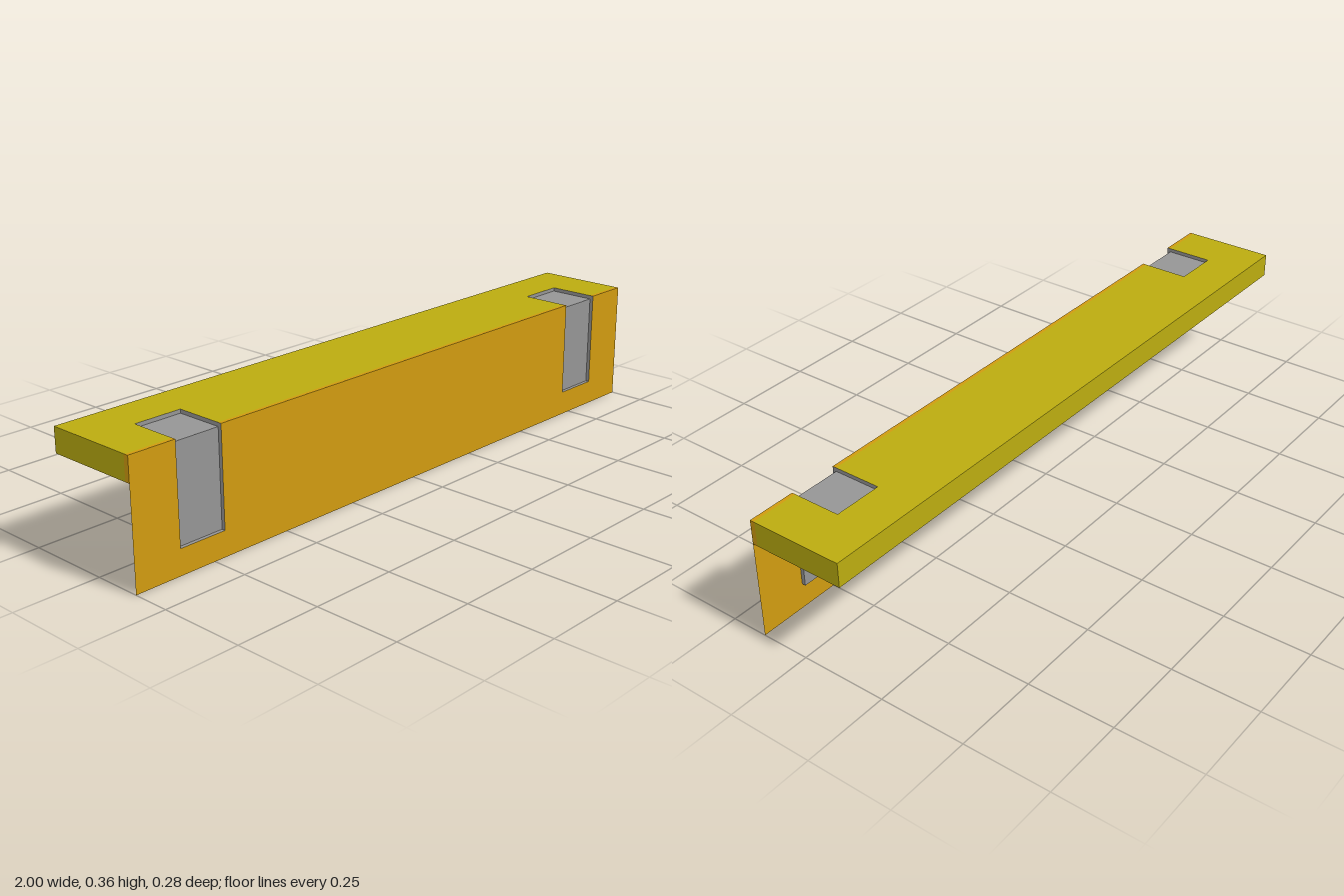
import * as THREE from 'three';

const H = 0.358, SHELF = 0.287, Z = 0.142;          // top, shelf underside, half depth
const IN = 0.714, OUT = 0.858, LOW = 0.073, BACK = -0.01; // pocket extents
const D = 0.011, LIP = 0.011;                        // pocket depth, orange lip width

const material = (name, color) => {
  const m = new THREE.MeshStandardMaterial({ color, side: THREE.DoubleSide });
  m.name = name;
  return m;
};

export function createModel() {
  const orange = material('orange', 0xd09b10);
  const yellow = material('yellow', 0xbbac10);
  const grey = material('grey', 0x959595);
  const model = new THREE.Group();
  model.name = 'shelfTrim';

  // Flat sheet from an outline; plane 'xy' at z, 'xz' at y, or 'zy' at x
  function sheet(name, mat, plane, at, points, parent = model) {
    const pts = points.map(([a, b]) =>
      plane === 'xz' ? new THREE.Vector2(a, -b) :
      plane === 'zy' ? new THREE.Vector2(-a, b) : new THREE.Vector2(a, b));
    const geo = new THREE.ShapeGeometry(new THREE.Shape(pts));
    if (plane === 'xy') geo.translate(0, 0, at);
    if (plane === 'xz') geo.rotateX(-Math.PI / 2).translate(0, at, 0);
    if (plane === 'zy') geo.rotateY(Math.PI / 2).translate(at, 0, 0);
    const mesh = new THREE.Mesh(geo, mat);
    mesh.name = name;
    parent.add(mesh);
  }
  const rect = (a0, b0, a1, b1) => [[a0, b0], [a1, b0], [a1, b1], [a0, b1]];
  // Full-width outline whose upper edge is notched for the two pockets
  const notched = (far, edge, notch) => [
    [-1, far], [1, far], [1, edge], [OUT, edge], [OUT, notch], [IN, notch], [IN, edge],
    [-IN, edge], [-IN, notch], [-OUT, notch], [-OUT, edge], [-1, edge]];

  // Main sheets
  sheet('frontPanel', orange, 'xy', Z, notched(0, H, LOW));
  sheet('shelfTop', yellow, 'xz', H, notched(-Z, Z - LIP, BACK));
  sheet('shelfBack', yellow, 'xy', -Z, rect(-1, SHELF, 1, H));

  // Orange lip along the front edge, interrupted by the pockets
  for (const [a, b] of [[-1, -OUT], [-IN, IN], [OUT, 1]])
    sheet('frontLip', orange, 'xz', H, rect(a, Z - LIP, b, Z));

  for (const s of [-1, 1]) {
    // Shelf ends
    sheet('shelfEnd', yellow, 'zy', s, rect(-Z, SHELF, Z - 0.015, H));
    sheet('endLip', orange, 'zy', s, rect(Z - 0.015, SHELF, Z, H));

    // Recessed pocket wrapping over the front edge
    const pocket = new THREE.Group();
    pocket.name = s > 0 ? 'leftPocket' : 'rightPocket';
    model.add(pocket);
    const x0 = s * IN, x1 = s * OUT;
    sheet('pocketFront', grey, 'xy', Z - D, rect(x0, LOW, x1, H - D), pocket);
    sheet('pocketTop', grey, 'xz', H - D, rect(x0, BACK, x1, Z - D), pocket);
    sheet('pocketLowerWall', grey, 'xz', LOW, rect(x0, Z - D, x1, Z), pocket);
    sheet('pocketRearWall', grey, 'xy', BACK, rect(x0, H - D, x1, H), pocket);
    for (const x of [x0, x1])
      sheet('pocketSide', grey, 'zy', x, [
        [Z, LOW], [Z, H], [BACK, H], [BACK, H - D], [Z - D, H - D], [Z - D, LOW]], pocket);
  }
  return model;
}
